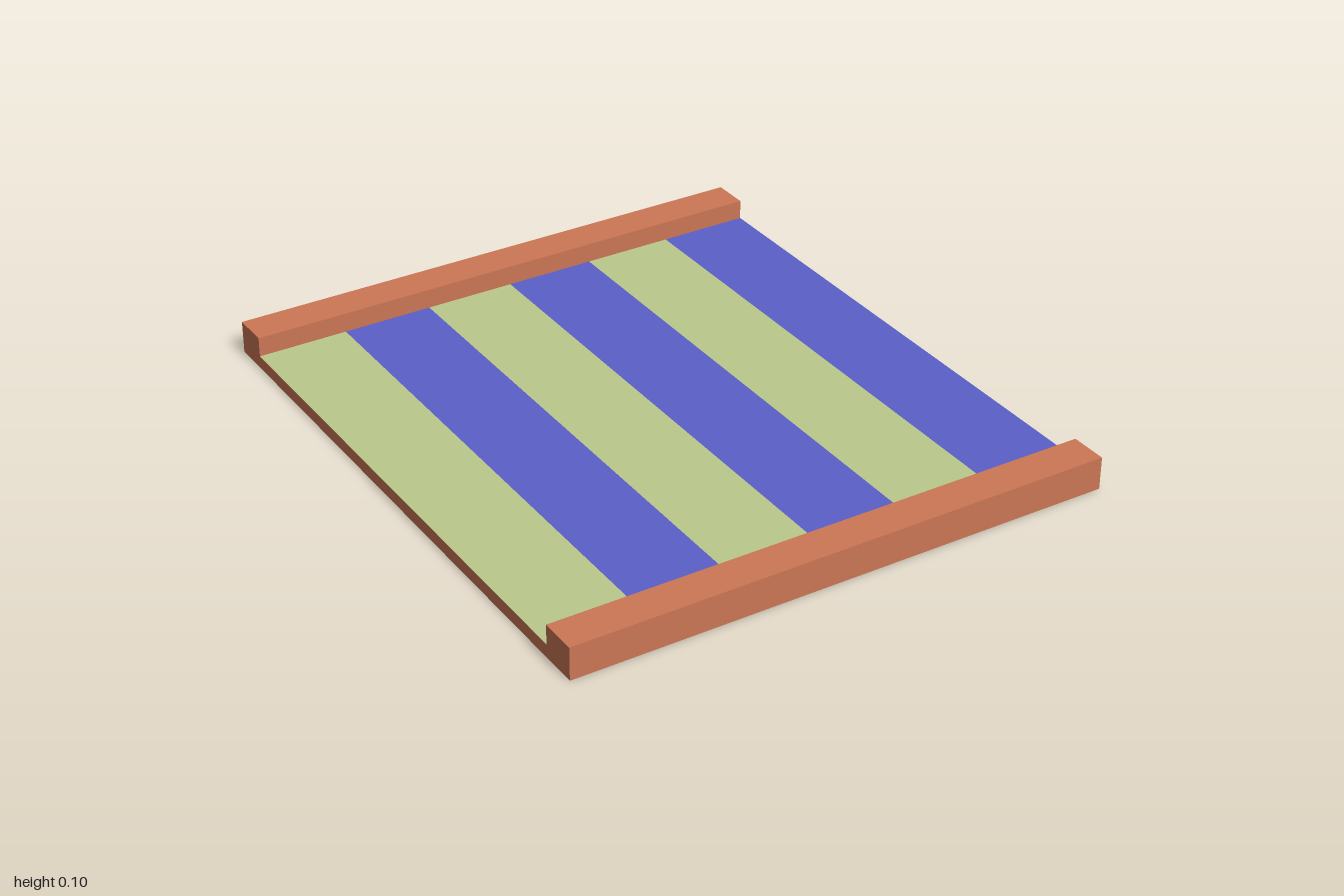
import * as THREE from 'three';

const WIDTH = 1.75, HALF = 1, RAIL_HEIGHT = 0.105, RAIL_DEPTH = 0.12, DECK = 0.042;

const paint = (color) => new THREE.MeshStandardMaterial({ color, flatShading: true });

export function createModel() {
  const model = new THREE.Group();
  model.name = 'stripedPanel';
  const inner = HALF - RAIL_DEPTH;
  const bed = DECK - 0.0005;

  // Base and both raised end rails: one channel section run across the width
  const section = new THREE.Shape([
    [-HALF, 0], [HALF, 0], [HALF, RAIL_HEIGHT], [inner, RAIL_HEIGHT],
    [inner, bed], [-inner, bed], [-inner, RAIL_HEIGHT], [-HALF, RAIL_HEIGHT],
  ].map(([z, y]) => new THREE.Vector2(z, y)));
  const frameGeometry = new THREE.ExtrudeGeometry(section, { depth: WIDTH, bevelEnabled: false });
  frameGeometry.translate(0, 0, -WIDTH / 2).rotateY(Math.PI / 2);
  const frame = new THREE.Mesh(frameGeometry, paint(0xcc7755));
  frame.name = 'frame';
  model.add(frame);

  // Alternating stripes laid on the deck between the rails
  const stripeMaterials = [paint(0xbbc98c), paint(0x5b5fc9)];
  const count = 6, stripeWidth = WIDTH / count;
  const stripeGeometry = new THREE.PlaneGeometry(stripeWidth, 2 * inner).rotateX(-Math.PI / 2);
  const stripes = new THREE.Group();
  stripes.name = 'stripes';
  for (let i = 0; i < count; i++) {
    const stripe = new THREE.Mesh(stripeGeometry, stripeMaterials[i % 2]);
    stripe.name = i % 2 ? 'blueStripe' : 'greenStripe';
    stripe.position.set(-WIDTH / 2 + (i + 0.5) * stripeWidth, DECK, 0);
    stripes.add(stripe);
  }
  model.add(stripes);

  return model;
}
